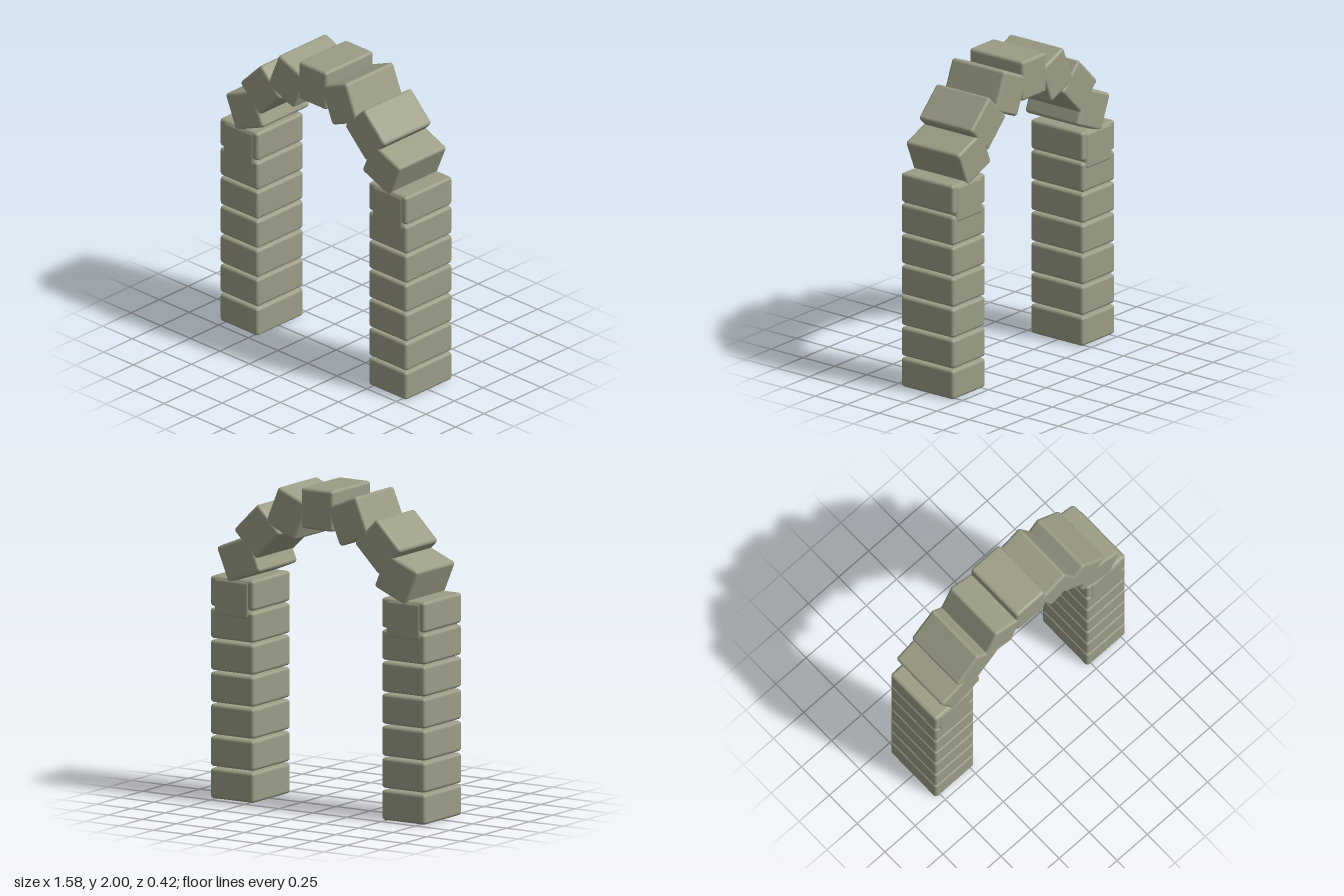
import * as THREE from 'three';
import { RoundedBoxGeometry } from 'three/addons/geometries/RoundedBoxGeometry.js';

export function createModel() {
  const group = new THREE.Group();
  group.name = 'stoneArch';
  const stone = new THREE.MeshStandardMaterial({ color: 0x9b9c85 });
  stone.name = 'stone';

  const pillarGeo = new RoundedBoxGeometry(0.32, 0.188, 0.41, 3, 0.02);
  const archGeo = new RoundedBoxGeometry(0.236, 0.255, 0.42, 3, 0.02);

  const addBlock = (parent, geo, name, x, y, turn = 0) => {
    const mesh = new THREE.Mesh(geo, stone);
    mesh.name = name;
    mesh.position.set(x, y, 0);
    mesh.rotation.z = turn;
    parent.add(mesh);
  };

  // Arch stones on one side: x, y; each turns a further 22.5 degrees
  const archStones = [[0.225, 1.824], [0.442, 1.69], [0.578, 1.503], [0.629, 1.253]];

  for (const [side, label] of [[1, 'left'], [-1, 'right']]) {
    // Pillar of seven stacked blocks
    const pillar = new THREE.Group();
    pillar.name = label + 'Pillar';
    for (let i = 0; i < 7; i++) {
      addBlock(pillar, pillarGeo, 'pillarBlock', side * 0.628, 0.094 + i * 0.1987);
    }
    // Half of the arch, down to the stone set into the pillar top
    const half = new THREE.Group();
    half.name = label + 'ArchHalf';
    archStones.forEach(([x, y], i) => {
      addBlock(half, archGeo, 'archStone', side * x, y, side * (i + 1) * Math.PI / 8);
    });
    group.add(pillar, half);
  }

  // Keystone at the crown
  addBlock(group, archGeo, 'keystone', 0, 1.8725);
  return group;
}
